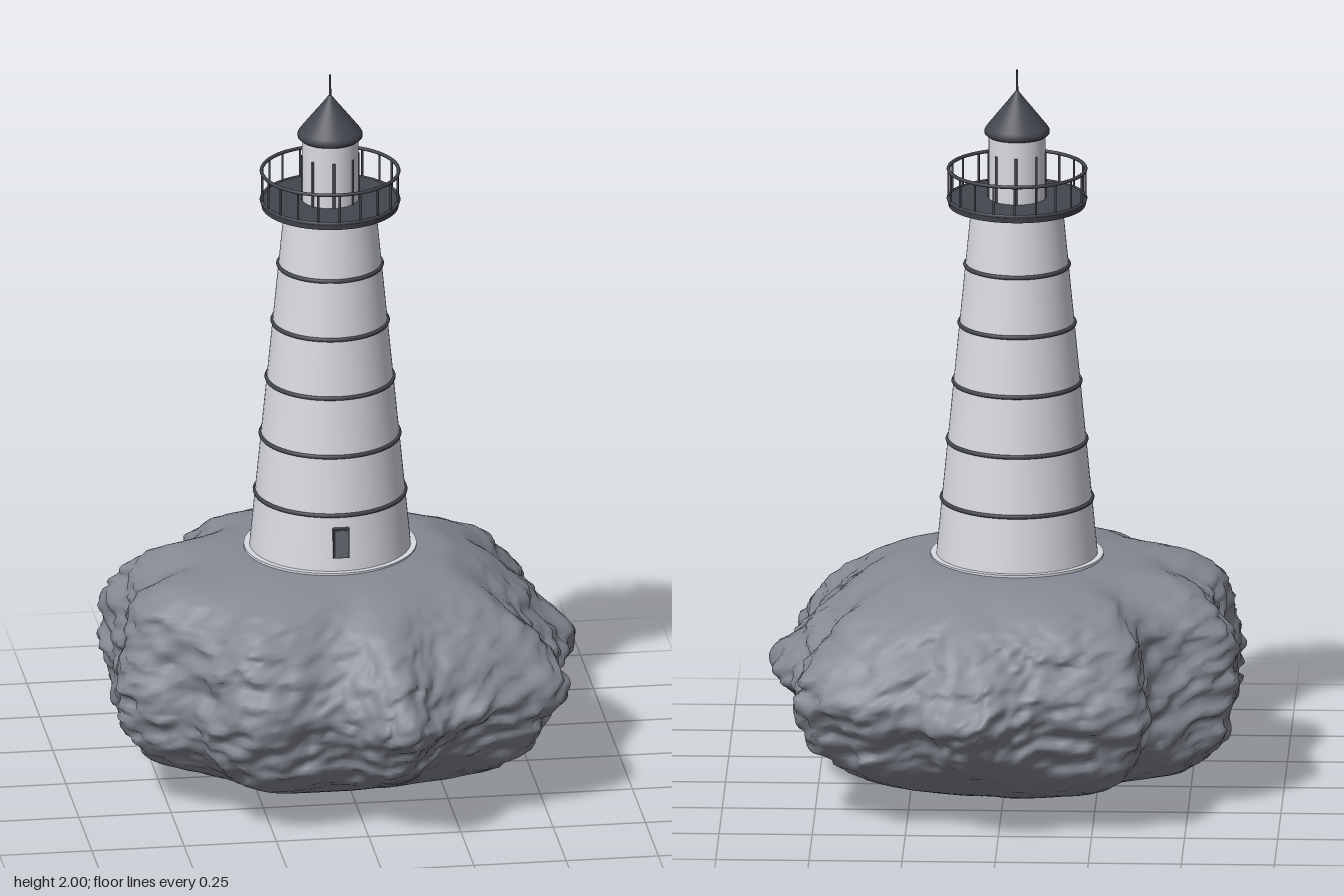
import * as THREE from 'three';

const mat = (name, color) => {
  const m = new THREE.MeshStandardMaterial({ color });
  m.name = name;
  return m;
};

// Smooth seeded value noise, about -1..1
function hash(x, y, z) {
  const s = Math.sin(x * 127.1 + y * 311.7 + z * 74.7) * 43758.5453;
  return (s - Math.floor(s)) * 2 - 1;
}
function noise(x, y, z) {
  const X = Math.floor(x), Y = Math.floor(y), Z = Math.floor(z);
  const f = (t) => t * t * (3 - 2 * t);
  const u = f(x - X), v = f(y - Y), w = f(z - Z);
  const mix = THREE.MathUtils.lerp;
  const row = (j, k) => mix(hash(X, Y + j, Z + k), hash(X + 1, Y + j, Z + k), u);
  return mix(mix(row(0, 0), row(1, 0), v), mix(row(0, 1), row(1, 1), v), w);
}

// Boulder: a lobed outline swept through a vertical profile, then roughened
function rockGeometry() {
  const { lerp, clamp, smoothstep } = THREE.MathUtils;
  // x, z, fullness of the side wall (0 = sharp ridge, 1 = steep wall)
  const outline = new THREE.CatmullRomCurve3([
    [0.632, -0.04, 0], [0.605, 0.06, 0.05], [0.55, 0.18, 0.2], [0.515, 0.425, 0.6],
    [0.25, 0.52, 0.45], [0.09, 0.675, 0.05], [-0.075, 0.54, 0.45], [-0.34, 0.53, 0.75],
    [-0.465, 0.36, 0.85], [-0.625, 0.2, 1], [-0.605, 0, 1], [-0.63, -0.2, 1],
    [-0.42, -0.34, 0.85], [-0.375, -0.53, 0.75], [-0.12, -0.59, 0.6], [0.075, -0.67, 0.15],
    [0.24, -0.565, 0.45], [0.4, -0.53, 0.55], [0.55, -0.43, 0.55], [0.55, -0.235, 0.25],
    [0.6, -0.13, 0.1],
  ].map(([x, z, f]) => new THREE.Vector3(x, f, z)), true, 'centripetal');

  // y, sharp radius, full radius (as fractions of the outline)
  const profile = new THREE.CatmullRomCurve3([
    [0, 0, 0], [0.018, 0.26, 0.32], [0.05, 0.44, 0.56], [0.1, 0.59, 0.79],
    [0.18, 0.77, 0.95], [0.26, 0.89, 0.98], [0.34, 1, 1], [0.42, 0.92, 0.99],
    [0.5, 0.8, 0.96], [0.57, 0.67, 0.88], [0.615, 0.55, 0.74], [0.645, 0.42, 0.47],
    [0.65, 0, 0],
  ].map((p) => new THREE.Vector3(...p)), false, 'centripetal');

  const N = 240, M = 80, pos = [], index = [];
  const ring = outline.getSpacedPoints(N);
  for (let j = 0; j <= M; j++) {
    const p = profile.getPoint(j / M);
    for (let i = 0; i < N; i++) {
      const o = ring[i];
      // the left shoulder slopes more gently above the waist
      const slope = 1 - 0.75 * smoothstep(o.x, -0.2, 0.5) * smoothstep(p.x, 0.34, 0.5);
      const r = lerp(p.y, p.z, clamp(o.y, 0, 1) * slope);
      // lobes fade into a round crown and underside
      const s = r * lerp(0.6 / Math.hypot(o.x, o.z), 1, smoothstep(r, 0.25, 0.85));
      const x = o.x * s, z = o.z * s;
      // roughest around the waist, calm on the crown and the underside
      const rough = smoothstep(r, 0.45, 0.95);
      const n = 0.022 * noise(x * 7, p.x * 13, z * 7 + 5)
        + 0.024 * noise(x * 17 + 9, p.x * 32, z * 17)
        + 0.02 * noise(x * 36, p.x * 55, z * 36);
      const k = 1 + n * rough * 1.2;
      const lift = 0.014 * noise(x * 9, 3, z * 9) * smoothstep(r, 0.5, 0.8);
      pos.push(x * k, Math.max(0, p.x + lift), z * k);
    }
  }
  for (let j = 0; j < M; j++) for (let i = 0; i < N; i++) {
    const a = j * N + i, b = j * N + (i + 1) % N;
    index.push(a, a + N, b, b, a + N, b + N);
  }
  const g = new THREE.BufferGeometry();
  g.setAttribute('position', new THREE.Float32BufferAttribute(pos, 3));
  g.setIndex(index);
  g.computeVertexNormals();
  return g;
}

export function createModel() {
  const stone = mat('rock grey', 0x858993);
  const white = mat('tower white', 0xd9dbe2);
  const iron = mat('dark iron', 0x44464f);
  const doorGrey = mat('door grey', 0x686a73);

  const model = new THREE.Group();
  model.name = 'lighthouseOnRock';
  const tower = new THREE.Group();
  tower.name = 'lighthouse';
  tower.position.set(-0.033, 0, -0.008);

  const add = (name, geo, material, x = 0, y = 0, z = 0, parent = tower) => {
    const m = new THREE.Mesh(geo, material);
    m.name = name;
    m.position.set(x, y, z);
    parent.add(m);
    return m;
  };
  const cyl = (name, rTop, rBottom, y0, y1, material) =>
    add(name, new THREE.CylinderGeometry(rTop, rBottom, y1 - y0, 64), material, 0, (y0 + y1) / 2);
  const hoop = (name, r, tube, y) =>
    add(name, new THREE.TorusGeometry(r, tube, 8, 72), iron, 0, y).rotateX(Math.PI / 2);
  const posts = (name, count, r, radius, y0, y1) => {
    for (let i = 0; i < count; i++) {
      const a = (i / count) * Math.PI * 2;
      add(name, new THREE.CylinderGeometry(radius, radius, y1 - y0, 6), iron,
        Math.sin(a) * r, (y0 + y1) / 2, Math.cos(a) * r);
    }
  };

  add('rock', rockGeometry(), stone, 0, 0, 0, model);

  // Foundation and tapering shaft with iron bands
  const bottom = 0.65, top = 1.63;
  const radiusAt = (y) => THREE.MathUtils.mapLinear(y, bottom, top, 0.217, 0.122);
  cyl('foundation', 0.232, 0.232, 0.6, 0.654, white);
  cyl('shaft', radiusAt(top), radiusAt(bottom), bottom, top, white);
  for (let i = 0; i < 5; i++) {
    const y = 0.808 + i * 0.1625;
    hoop('shaftBand', radiusAt(y), 0.006, y);
  }

  // Door with its frame
  add('doorFrame', new THREE.BoxGeometry(0.044, 0.084, 0.022), iron, 0, 0.733, 0.206);
  add('door', new THREE.BoxGeometry(0.036, 0.076, 0.004), doorGrey, 0, 0.732, 0.217);

  // Gallery deck and railing
  cyl('galleryDeck', 0.187, 0.184, 1.624, 1.644, iron);
  hoop('deckRim', 0.184, 0.005, 1.642);
  hoop('topRail', 0.184, 0.005, 1.724);
  posts('railPost', 20, 0.184, 0.0032, 1.64, 1.724);

  // Lantern room with window bars
  cyl('lanternRoom', 0.076, 0.076, 1.64, 1.825, white);
  posts('lanternBar', 8, 0.075, 0.0045, 1.64, 1.772);

  // Conical roof and finial
  const roof = [[0, 1.818], [0.08, 1.818], [0.087, 1.824], [0.087, 1.834],
    [0.082, 1.842], [0.052, 1.88], [0.024, 1.915], [0, 1.946]];
  add('roof', new THREE.LatheGeometry(roof.map((p) => new THREE.Vector2(...p)), 64), iron);
  cyl('finial', 0.0025, 0.0035, 1.935, 2, iron);

  model.add(tower);
  return model;
}
